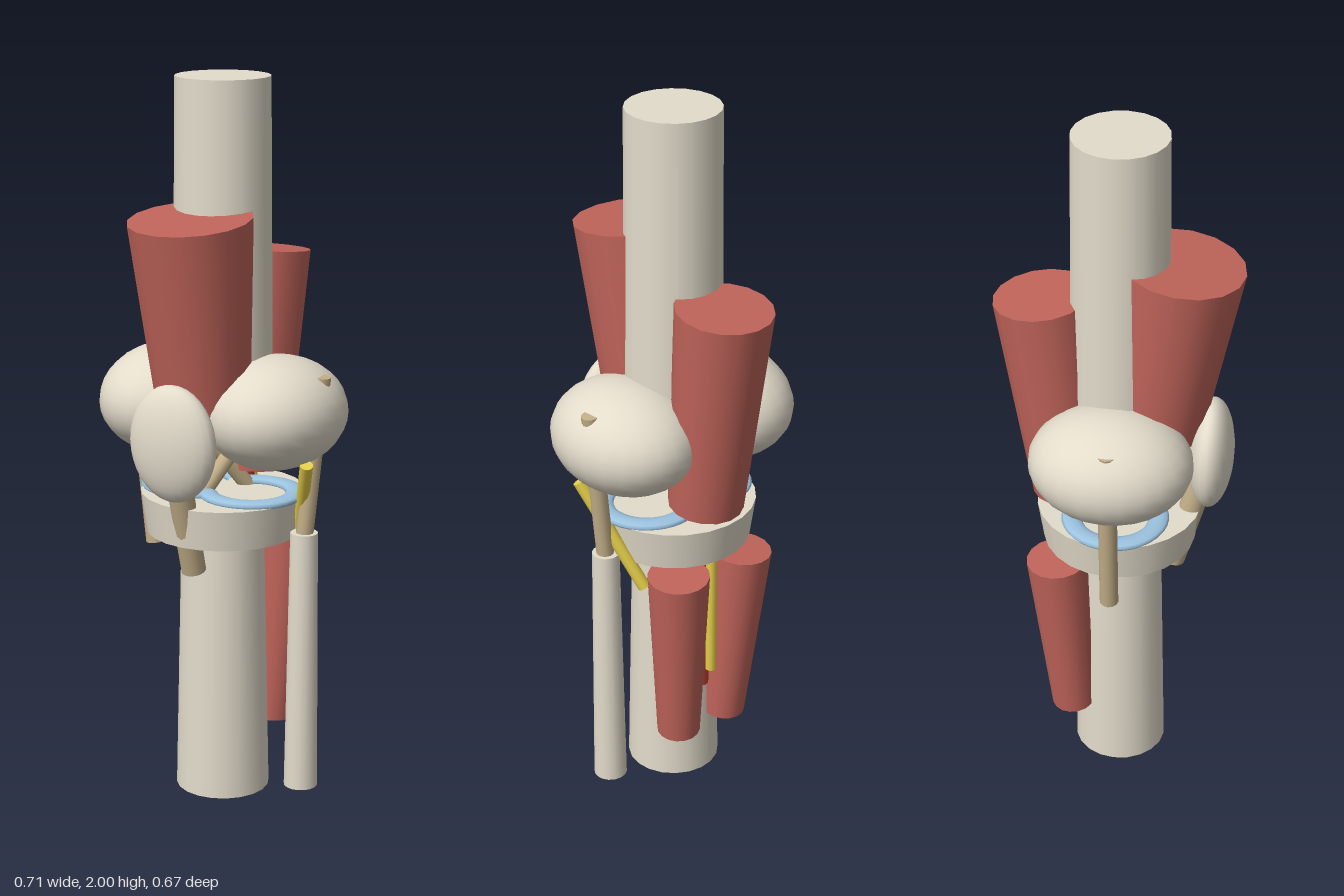
import * as THREE from 'three';

const material = (color) => new THREE.MeshStandardMaterial({ color });
const bone = material(0xe3dccb);
const muscle = material(0xc0645a);
const ligament = material(0xc4b08a);
const cartilage = material(0x9cc3e0);
const nerve = material(0xe6cf4a);
const vessel = material(0xb83c34);

export function createModel() {
  const group = new THREE.Group();
  const V = (p) => new THREE.Vector3(...p);

  const add = (name, geometry, mat) => {
    const mesh = new THREE.Mesh(geometry, mat);
    mesh.name = name;
    group.add(mesh);
    return mesh;
  };

  // Tapered round bar between two points
  const bar = (name, bottom, top, rBottom, rTop, mat, sides = 16) => {
    const a = V(bottom), b = V(top), dir = b.clone().sub(a);
    const mesh = add(name, new THREE.CylinderGeometry(rTop, rBottom, dir.length(), sides), mat);
    mesh.position.copy(a).add(b).multiplyScalar(0.5);
    mesh.quaternion.setFromUnitVectors(new THREE.Vector3(0, 1, 0), dir.normalize());
  };

  const ellipsoid = (name, center, radii, mat) => {
    const mesh = add(name, new THREE.SphereGeometry(1, 24, 18), mat);
    mesh.position.set(...center);
    mesh.scale.set(...radii);
  };

  // Long bones
  bar('thighBone', [0, 1.05, 0.005], [0, 2, 0.005], 0.137, 0.128, bone, 20);
  bar('shinBone', [0, 0, 0.006], [0, 0.78, 0.006], 0.131, 0.114, bone, 20);
  bar('shinPlateau', [0, 0.755, 0.003], [0, 0.868, 0.003], 0.212, 0.228, bone, 24);
  bar('calfBone', [0.246, 0.04, -0.01], [0.25, 0.78, -0.01], 0.047, 0.038, bone);
  ellipsoid('kneecap', [0, 1.055, 0.255], [0.13, 0.16, 0.062], bone);

  for (const s of [-1, 1]) {
    const side = s > 0 ? 'left' : 'right';
    // Rounded lower ends of the thigh bone
    ellipsoid(side + 'Condyle', [s * 0.167, 1.11, 0.006], [0.188, 0.153, 0.222], bone);

    // C-shaped pads, open towards the middle
    const arc = Math.PI * 1.6;
    const pad = new THREE.TorusGeometry(0.12, 0.028, 10, 28, arc);
    pad.rotateZ(-arc / 2).rotateX(-Math.PI / 2).scale(1, 0.45, 1);
    if (s < 0) pad.rotateY(Math.PI);
    add(side + 'Meniscus', pad, cartilage).position.set(s * 0.093, 0.873, 0.006);

    // Paired calf muscles
    bar(side + 'CalfMuscle', [s * 0.083, 0.178, -0.12], [s * 0.112, 0.72, -0.155],
      0.061, 0.086, muscle);
  }

  // Thigh muscles
  bar('frontThighMuscle', [0, 1.13, 0.103], [0, 1.643, 0.167], 0.128, 0.168, muscle);
  bar('backThighMuscle', [0, 0.902, -0.135], [0, 1.51, -0.204], 0.104, 0.132, muscle);

  // Ligaments and kneecap tendon
  bar('kneecapTendon', [0, 0.675, 0.155], [0, 1.02, 0.247], 0.034, 0.036, ligament);
  bar('innerLigament', [-0.222, 0.68, 0.01], [-0.282, 1.22, 0.014], 0.026, 0.026, ligament, 12);
  bar('outerLigament', [0.25, 0.76, -0.01], [0.298, 1.22, -0.015], 0.024, 0.024, ligament, 12);
  bar('frontCrossLigament', [-0.03, 0.86, 0.07], [0.06, 1.06, -0.06], 0.022, 0.022, ligament, 12);
  bar('backCrossLigament', [0.03, 0.86, -0.08], [-0.06, 1.06, 0.05], 0.022, 0.022, ligament, 12);

  // Vessel and nerves behind and beside the joint
  bar('artery', [0, 0.3, -0.115], [0, 1.2, -0.115], 0.024, 0.024, vessel, 12);
  bar('rearNerve', [-0.01, 0.36, -0.15], [0, 1.2, -0.16], 0.016, 0.016, nerve, 10);
  bar('sideNerve', [0.18, 0.68, -0.09], [0.29, 0.99, 0.05], 0.018, 0.018, nerve, 10);

  return group;
}
